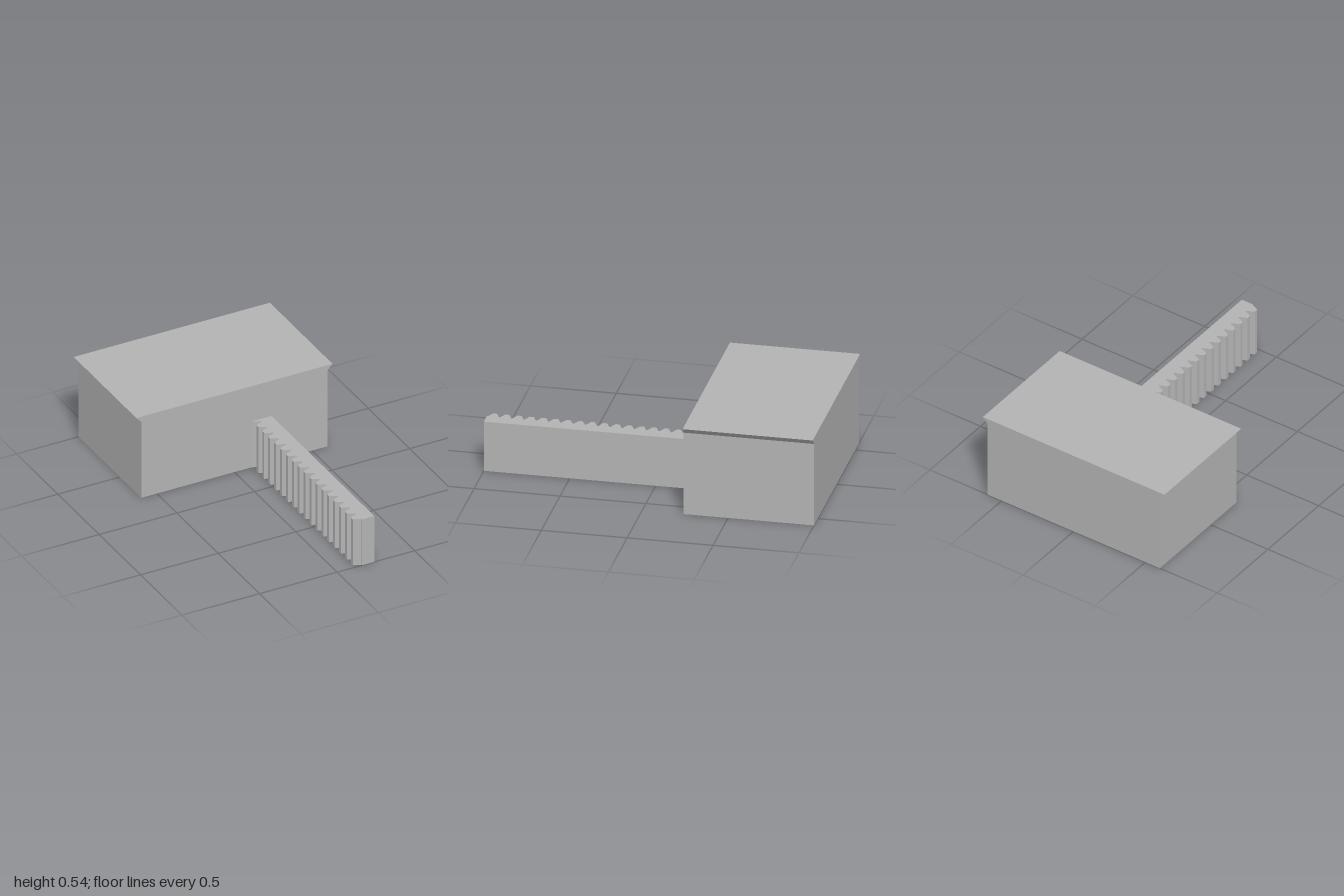
import * as THREE from 'three';

export function createModel() {
  const model = new THREE.Group();
  const grey = new THREE.MeshStandardMaterial({ color: 0xb3b3b3 });
  grey.name = 'plain grey';

  const addPart = (name, geometry) => {
    const mesh = new THREE.Mesh(geometry, grey);
    mesh.name = name;
    model.add(mesh);
  };
  const shapeFrom = (points) => new THREE.Shape(points.map(([x, y]) => new THREE.Vector2(x, y)));

  // Block with a flared lip along the top of both ends
  const back = -1, joint = -0.242;
  const profile = shapeFrom([
    [-0.6, 0], [0.6, 0], [0.6, 0.505], [0.632, 0.54], [-0.632, 0.54], [-0.6, 0.505],
  ]);
  const block = new THREE.ExtrudeGeometry(profile, { depth: joint - back, bevelEnabled: false });
  block.translate(0, 0, back);
  addPart('block', block);

  // Toothed rack: plan outline drawn as (x, -z), then stood upright
  const inner = 0.24, root = 0.16, tip = 0.115, front = 1;
  const pitch = 0.0714, halfTip = 0.012, halfBase = 0.032;
  const outline = [[inner, -joint], [inner, -front], [root, -front]];
  for (let i = 0; i < 17; i++) {
    const z = 0.962 - i * pitch;
    outline.push([root, -(z + halfBase)], [tip, -(z + halfTip)],
      [tip, -(z - halfTip)], [root, -(z - halfBase)]);
  }
  // Last tooth is cut off where it meets the block
  const z = 0.962 - 17 * pitch;
  outline.push([root, -(z + halfBase)], [tip, -(z + halfTip)], [tip, -joint]);
  const rack = new THREE.ExtrudeGeometry(shapeFrom(outline), { depth: 0.305, bevelEnabled: false });
  rack.rotateX(-Math.PI / 2);
  addPart('toothedRack', rack);

  return model;
}
